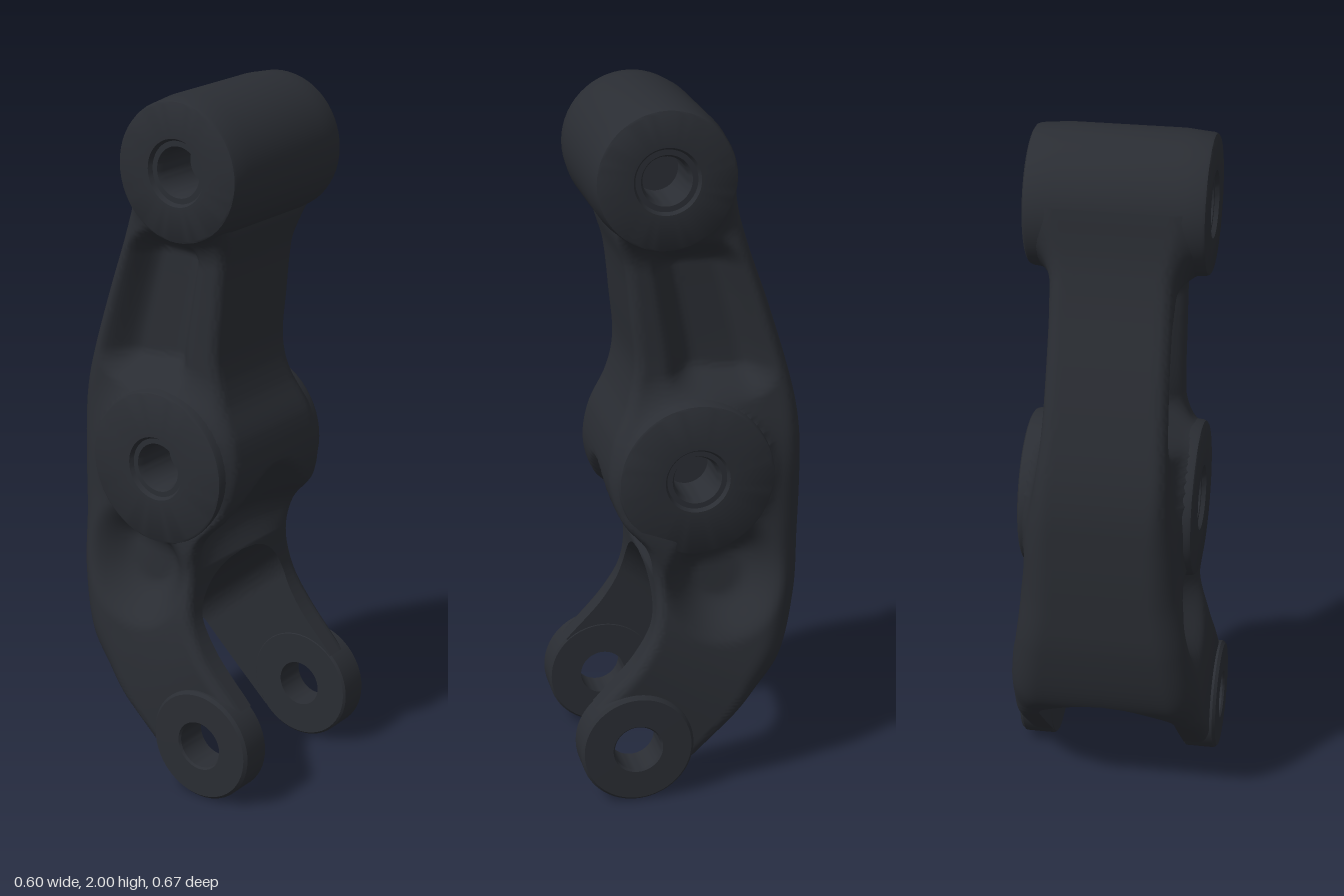
import * as THREE from 'three';
import { toCreasedNormals } from 'three/addons/utils/BufferGeometryUtils.js';

const { smoothstep, lerp, clamp } = THREE.MathUtils;

// Stations down the arm: front [halfWidth, y, z], back [halfWidth, y, z]
const STATIONS = [
  [[0.17, 1.80, 0.18], [0.17, 1.84, -0.128]],
  [[0.17, 1.64, 0.192], [0.17, 1.70, -0.147]],
  [[0.17, 1.54, 0.168], [0.17, 1.58, -0.180]],
  [[0.17, 1.40, 0.153], [0.17, 1.42, -0.235]],
  [[0.17, 1.25, 0.143], [0.175, 1.24, -0.29]],
  [[0.175, 1.15, 0.165], [0.185, 1.12, -0.318]],
  [[0.19, 1.04, 0.212], [0.195, 1.02, -0.33]],
  [[0.21, 0.93, 0.225], [0.21, 0.90, -0.33]],
  [[0.24, 0.83, 0.195], [0.225, 0.74, -0.324]],
  [[0.242, 0.74, 0.125], [0.255, 0.56, -0.309]],
  [[0.234, 0.65, 0.105], [0.28, 0.365, -0.255]],
  [[0.264, 0.52, 0.11], [0.28, 0.28, -0.182]],
  [[0.28, 0.42, 0.16], [0.28, 0.20, -0.10]],
  [[0.28, 0.285, 0.282], [0.28, 0.06, 0.05]],
];
const LAST = STATIONS.length - 1;
const CROTCH = 10;
const curveOf = (k) => new THREE.CatmullRomCurve3(STATIONS.map((s) => new THREE.Vector3(...s[k])));

const TOP = { y: 1.80, z: 0.07, r: 0.20, half: 0.247 };
const MID = { y: 0.945, z: -0.014, r: 0.228, half: 0.245 };
const EYE = { y: 0.164, z: 0.172 };

// Quarter-round falloff: 1 at d <= 0, 0 at d >= 1
const round = (d) => 1 - Math.sqrt(1 - (1 - clamp(d, 0, 1)) ** 2);

// Upper part sits slightly off centre
const offset = (y) => -0.012 * smoothstep(y, 0.9, 1.3);

// Outer side surface: base width, recessed pockets, fillets up to the bosses
function sideWidth(base, s, y, z) {
  let w = base;
  // Long upper pocket, as a rounded rectangle
  const px = Math.abs(s - 0.56) * 0.4 - 0.05;
  const py = Math.abs(y - 1.38) - 0.14;
  const pd = Math.hypot(Math.max(px, 0), Math.max(py, 0));
  w -= 0.08 * (1 - smoothstep(pd, 0.01, 0.1));
  // Lower scoop under the middle boss
  const e = Math.hypot((z + 0.09) / 0.18, (y - 0.64) / 0.2);
  w -= 0.085 * (1 - smoothstep(e, 0.35, 1));
  for (const b of [TOP, MID]) {
    const d = Math.hypot(y - b.y, z - b.z);
    w += Math.max(0, b.half - 0.012 - w) * round((d - b.r + 0.012) / 0.09);
    w = lerp(0.05, w, smoothstep(d, 0.09, 0.14)); // room for the bore
  }
  return w;
}

// Moves a point up the leg until it is clear of the eye's hole
function clearOfEye(y, z) {
  const dy = y - EYE.y, dz = z - EYE.z;
  const along = 0.72 * dy - 0.69 * dz, across = 0.69 * dy + 0.72 * dz;
  const push = Math.max(0, Math.sqrt(Math.max(0, 0.1 ** 2 - across ** 2)) - along);
  return Math.abs(across) < 0.1 ? [y + 0.72 * push, z - 0.69 * push] : [y, z];
}

// Depth of the arched hollow below the middle boss; u runs 0..1 from centre to edge
function hollow(u, y) {
  const top = 0.95 - 0.17 * u * u;
  const v = clamp((y - 0.65) / (top - 0.65), 0, 1);
  return -0.06 * Math.sin(Math.PI * v) * (1 - u * u);
}

// One half of the arm with its fork leg, lofted from closed cross-sections
function halfArm(sign) {
  const front = curveOf(0), back = curveOf(1);
  const nS = 36, nX = 10, rows = LAST * 16, ring = 2 * (nS + nX);
  const pos = [], idx = [], inners = [];
  const ease = (k) => (1 - Math.cos((Math.PI * k) / nS)) / 2;
  for (let i = 0; i <= rows; i++) {
    const t = i / 16;
    const F = front.getPoint(t / LAST), B = back.getPoint(t / LAST);
    const len = Math.hypot(F.y - B.y, F.z - B.z);
    // Rounded arch opening into the fork slot
    const q = clamp((t - CROTCH) / 1.2, 0, 1);
    const inner = 0.2 * Math.sqrt(1 - (1 - q) ** 2);
    inners.push(inner);
    const rb = 0.04 + 0.05 * smoothstep(t, 4, 9) - 0.055 * smoothstep(t, 10, 12);
    const rf = 0.03;
    const outerX = (s) => {
      const w = sideWidth(lerp(F.x, B.x, s), s, lerp(F.y, B.y, s), lerp(F.z, B.z, s));
      return w - rf * round((s * len) / rf) - rb * round(((1 - s) * len) / rb);
    };
    const put = (x, s, dz = 0) => {
      const [y, z] = clearOfEye(lerp(F.y, B.y, s), lerp(F.z, B.z, s));
      pos.push(sign * x + offset(y), y, z + dz);
    };
    const xf = outerX(0), xb = outerX(1);
    for (let k = 0; k < nS; k++) put(outerX(ease(k)), ease(k));
    for (let k = 0; k < nX; k++) put(lerp(xb, inner, k / nX), 1);
    for (let k = 0; k < nS; k++) put(inner, 1 - ease(k));
    for (let k = 0; k < nX; k++) {
      const x = lerp(inner, xf, k / nX);
      put(x, 0, hollow(x / xf, F.y));
    }
  }
  for (let i = 0; i < rows; i++) {
    for (let j = 0; j < ring; j++) {
      const isInner = j >= nS + nX && j < 2 * nS + nX;
      if (isInner && inners[i + 1] === 0) continue; // the halves meet here
      const a = i * ring + j, b = i * ring + ((j + 1) % ring);
      const c = a + ring, d = b + ring;
      if (sign > 0) idx.push(a, c, b, b, c, d);
      else idx.push(a, b, c, b, d, c);
    }
  }
  const g = new THREE.BufferGeometry();
  g.setAttribute('position', new THREE.Float32BufferAttribute(pos, 3));
  g.setIndex(idx);
  return toCreasedNormals(g, 0.8);
}

// Turned part with its axis along x; points are [radius, x]
function turned(points) {
  const g = new THREE.LatheGeometry(points.map((p) => new THREE.Vector2(...p)), 56);
  g.rotateZ(-Math.PI / 2);
  return toCreasedNormals(g, 0.6);
}

// Slightly crowned boss with a chamfered blind bore in each end
function bossGeometry(b, waist) {
  const h = b.half, r = b.r;
  const side = [
    [0, 0.1], [0.062, 0.1], [0.062, h - 0.03], [0.07, h - 0.012], [0.085, h - 0.012], [0.092, h],
    [r - 0.016, h], [r - 0.01, h - 0.004], [r - 0.007, h - 0.012], [r - 0.003, 0.19], [waist, 0.16],
  ];
  const left = side.map(([x, y]) => [x, -y]);
  return turned([...left, [waist, 0], ...side.reverse()]);
}

export function createModel() {
  const group = new THREE.Group();
  const material = new THREE.MeshStandardMaterial({ color: 0x2a2d33 });
  const add = (name, geometry, x = 0, y = 0, z = 0) => {
    const mesh = new THREE.Mesh(geometry, material);
    mesh.name = name;
    mesh.position.set(x, y, z);
    group.add(mesh);
  };

  add('leftArmHalf', halfArm(1));
  add('rightArmHalf', halfArm(-1));
  add('topBoss', bossGeometry(TOP, TOP.r), -0.012, TOP.y, TOP.z);
  add('middleBoss', bossGeometry(MID, 0.13), -0.004, MID.y, MID.z);

  // Eyes at the ends of the fork legs, with through holes
  const eye = turned([
    [0.067, 0.198], [0.157, 0.198], [0.163, 0.204], [0.163, 0.288],
    [0.155, 0.297], [0.072, 0.298], [0.067, 0.292], [0.067, 0.198],
  ]);
  const mirroredEye = eye.clone().rotateY(Math.PI);
  add('leftForkEye', eye, 0, EYE.y, EYE.z);
  add('rightForkEye', mirroredEye, 0, EYE.y, EYE.z);
  return group;
}
